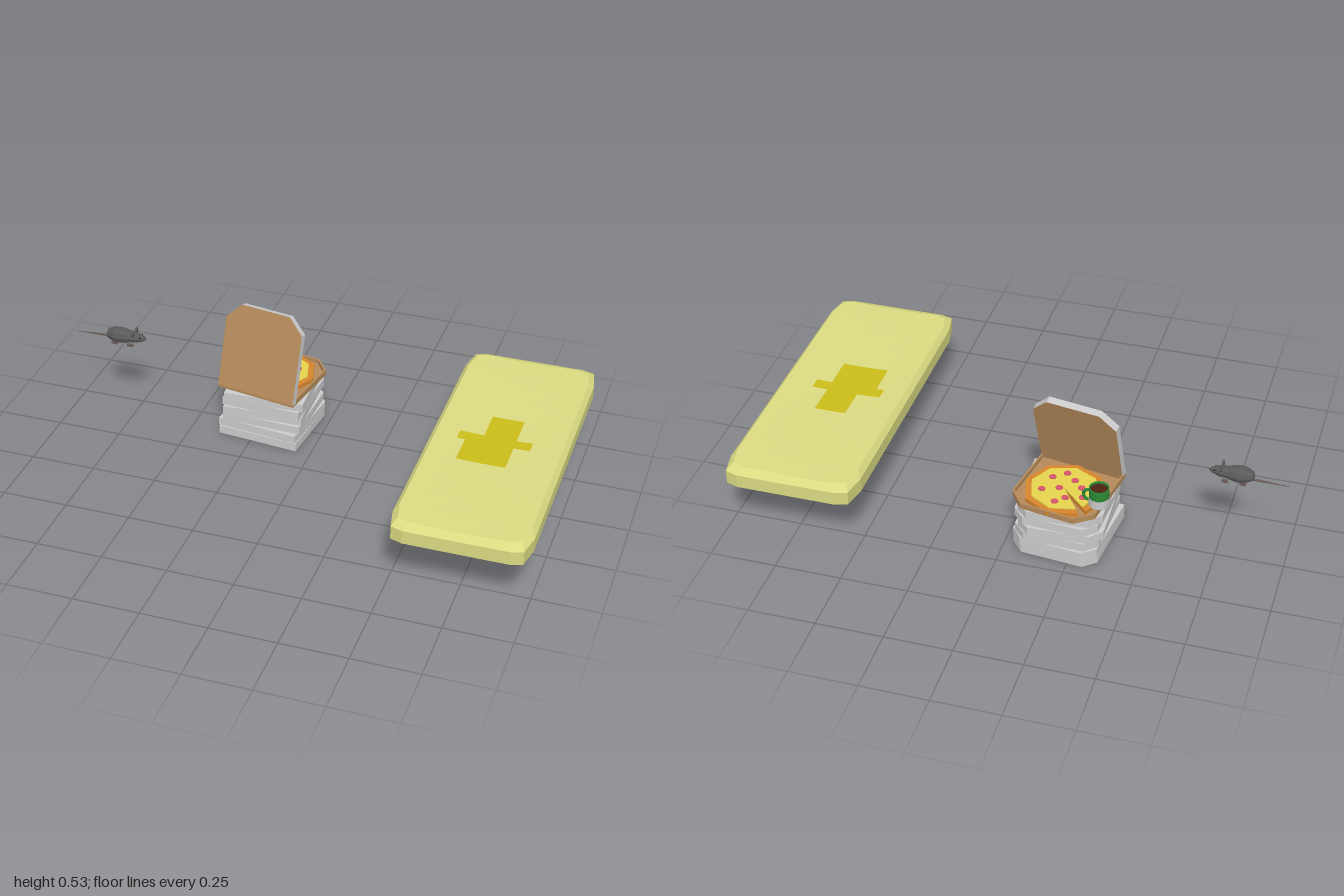
import * as THREE from 'three';

const mat = (color, opts = {}) => new THREE.MeshStandardMaterial({ color, flatShading: true, ...opts });
const GREY = 0xcccccc, CARD = 0xb58a5a;

function add(parent, name, geo, material, x = 0, y = 0, z = 0) {
  const mesh = new THREE.Mesh(geo, material);
  mesh.name = name;
  mesh.position.set(x, y, z);
  parent.add(mesh);
  return mesh;
}

function group(parent, name, x = 0, y = 0, z = 0, yaw = 0) {
  const g = new THREE.Group();
  g.name = name;
  g.position.set(x, y, z);
  g.rotation.y = yaw;
  parent.add(g);
  return g;
}

// Square outline with the two far corners cut off; y runs from the hinge edge
function boxShape(w, d, clip) {
  const h = w / 2;
  return new THREE.Shape([[-h, 0], [h, 0], [h, d - clip], [h - clip, d], [clip - h, d], [-h, d - clip]]
    .map(p => new THREE.Vector2(...p)));
}

const extrude = (shape, depth) => new THREE.ExtrudeGeometry(shape, { depth, bevelEnabled: false });

// Height of the sagging mattress top
const sagY = (x, z) => 0.285 - 0.012 * (1 - (x / 0.25) ** 2) * (0.75 + 0.25 * Math.cos(z * 7));

function mattress(root) {
  const g = group(root, 'mattress', 0.75);
  const geo = new THREE.BoxGeometry(0.5, 0.1, 1.22, 8, 3, 12);
  const p = geo.attributes.position;
  for (let i = 0; i < p.count; i++) {
    let x = p.getX(i), y = p.getY(i), z = p.getZ(i);
    const top = y > 0.049, bottom = y < -0.049;
    const edgeX = Math.abs(x) > 0.249, edgeZ = Math.abs(z) > 0.609;
    // Cut corners, then chamfer the upper and lower edges
    if (edgeX && edgeZ) { x *= 0.93; z *= 0.975; }
    if (top || bottom) { x *= 0.93; z *= 0.945; }
    y = top ? sagY(x, z) : bottom ? 0.187 : y > 0 ? 0.264 : 0.212;
    p.setXYZ(i, x, y, z);
  }
  geo.computeVertexNormals();
  add(g, 'mattressBody', geo, mat(0xdada82));

  // Stain patches draped over the top: x0, x1, z0, z1
  const stain = mat(0xcbbd1a, { side: THREE.DoubleSide });
  for (const [x0, x1, z0, z1] of [[-0.15, 0.12, -0.03, 0.02], [-0.06, 0.06, -0.16, -0.03], [-0.12, 0.06, 0.02, 0.15]]) {
    const patch = new THREE.PlaneGeometry(x1 - x0, z1 - z0, 6, 4).rotateX(-Math.PI / 2)
      .translate((x0 + x1) / 2, 0, (z0 + z1) / 2);
    const q = patch.attributes.position;
    for (let i = 0; i < q.count; i++) q.setY(i, sagY(q.getX(i), q.getZ(i)) + 0.003);
    patch.computeVertexNormals();
    add(g, 'stain', patch, stain);
  }
}

function boxStack(root) {
  const g = group(root, 'boxStack', -0.205, 0, -0.285);
  // Closed boxes, each slightly turned and shifted: x, z, yaw
  const layers = [[0, 0.005, -0.1], [0, 0.002, -0.12], [0.003, 0, -0.04],
    [-0.004, -0.003, 0.03], [0.004, 0, -0.06], [0.002, 0.004, 0.04]];
  layers.forEach(([x, z, yaw], i) => {
    const size = i < 2 ? 0.325 : 0.315;
    const geo = extrude(boxShape(size, size, 0.045), 0.032).translate(0, -size / 2, 0).rotateX(-Math.PI / 2);
    add(g, 'closedBox', geo, mat(GREY), x, i * 0.0333, z).rotation.y = yaw;
  });

  // Open box
  const open = group(g, 'openBox', 0.005, 0.2, -0.002, -0.17);
  const D = 0.33, W = 0.325;
  const flat = geo => geo.translate(0, -D / 2, 0).rotateX(-Math.PI / 2);
  add(open, 'trayFloor', flat(extrude(boxShape(W, D, 0.06), 0.005)), mat(CARD));
  const rim = boxShape(W, D, 0.06);
  rim.holes.push(new THREE.Path(boxShape(W - 0.014, D - 0.014, 0.056).getPoints()
    .map(v => new THREE.Vector2(v.x, v.y + 0.007))));
  add(open, 'trayWall', flat(extrude(rim, 0.022)), mat(CARD));

  // Raised lid with brown faces and grey edges, hinged on the front edge
  const lid = add(open, 'lid', extrude(boxShape(W, 0.335, 0.06), 0.028).translate(0, 0, -0.028),
    [mat(CARD), mat(GREY)], 0, 0.012, D / 2 + 0.003);
  lid.rotation.x = -0.28;
  pizza(root);
}

function pizza(root) {
  const g = group(root, 'pizza', -0.2, 0.205, -0.305);
  // Faceted disc with a thin gap where a slice is cut; the gap points back and left
  const disc = (r, h) => {
    const s = new THREE.Shape();
    s.moveTo(0, 0);
    for (let i = 0; i <= 8; i++) {
      const a = 2.36 + (i / 8) * (Math.PI * 2 - 0.2);
      s.lineTo(r * Math.cos(a), r * Math.sin(a));
    }
    return extrude(s, h).rotateX(-Math.PI / 2);
  };
  add(g, 'crust', disc(0.15, 0.016), mat(0xd8862c));
  add(g, 'cheese', disc(0.127, 0.02), mat(0xe6d34e));
  const spots = [[0.015, -0.085], [-0.02, -0.055], [-0.088, -0.037], [0.087, -0.028], [-0.068, 0.015],
    [-0.115, 0.03], [-0.03, 0.05], [0.065, 0.05], [0.013, 0.085], [0.02, -0.005]];
  for (const [x, z] of spots)
    add(g, 'salami', new THREE.CylinderGeometry(0.014, 0.014, 0.004, 8), mat(0xd4556a), x * 0.88, 0.021, z);
}

function mug(root) {
  const g = group(root, 'mug', -0.365, 0.297, -0.457);
  const green = mat(0x2a8a34, { flatShading: false });
  const wall = (pts, material, name) => add(g, name,
    new THREE.LatheGeometry(pts.map(p => new THREE.Vector2(...p)), 16), material);
  wall([[0, 0], [0.03, 0], [0.036, 0.006], [0.036, 0.04]], mat(GREY, { side: THREE.DoubleSide }), 'mugBase');
  wall([[0.036, 0.04], [0.036, 0.078], [0.032, 0.078], [0.032, 0.066]],
    mat(0x2a8a34, { side: THREE.DoubleSide }), 'mugRim');
  add(g, 'coffee', new THREE.CircleGeometry(0.033, 16).rotateX(-Math.PI / 2), mat(0x4a2412), 0, 0.07);
  // Handle on the left side
  const handle = add(g, 'mugHandle', new THREE.TorusGeometry(0.022, 0.006, 6, 10, Math.PI), green, 0.034, 0.04);
  handle.rotation.z = -Math.PI / 2;
}

function rat(root) {
  const g = group(root, 'rat', -0.79, 0.332, -0.19);
  const fur = mat(0x5a5a5a), skin = mat(0x6a5c58);
  // Body and head turned about the long axis: radius, x
  const profile = [[0, -0.074], [0.02, -0.066], [0.034, -0.035], [0.034, -0.01], [0.025, 0.025],
    [0.023, 0.05], [0.012, 0.08], [0, 0.094]].map(p => new THREE.Vector2(...p));
  const body = new THREE.LatheGeometry(profile, 10).rotateZ(-Math.PI / 2).scale(1, 0.92, 1);
  add(g, 'body', body, mat(0x5a5a5a, { side: THREE.DoubleSide }));
  for (const s of [-1, 1]) {
    const ear = add(g, 'ear', new THREE.SphereGeometry(0.012, 7, 5), fur, 0.045, 0.022, s * 0.018);
    ear.scale.set(0.45, 1, 1);
    add(g, 'eye', new THREE.SphereGeometry(0.003, 6, 4), mat(0x111111), 0.07, 0.008, s * 0.014);
    for (const x of [-0.035, 0.03])
      add(g, 'foot', new THREE.BoxGeometry(0.022, 0.01, 0.01), skin, x, -0.028, s * 0.018);
  }
  // Tapering tail
  const tail = new THREE.CylinderGeometry(0.001, 0.005, 0.135, 6).rotateZ(Math.PI / 2);
  add(g, 'tail', tail, skin, -0.132, -0.015, -0.002).rotation.z = 0.04;
}

export function createModel() {
  const root = new THREE.Group();
  root.name = 'hideoutProps';
  mattress(root);
  boxStack(root);
  mug(root);
  rat(root);
  return root;
}
